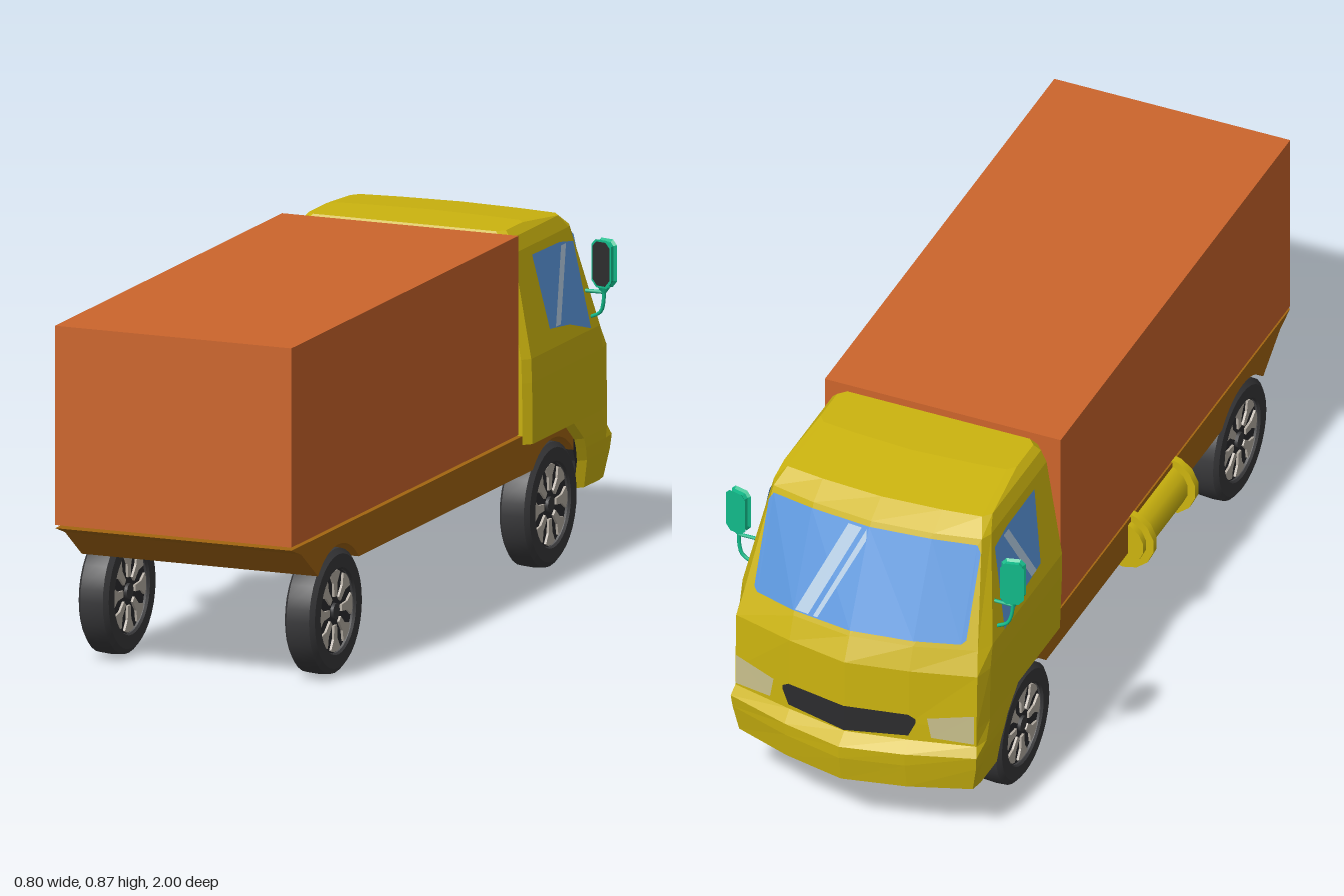
import * as THREE from 'three';
import { toCreasedNormals } from 'three/addons/utils/BufferGeometryUtils.js';

const paint = (name, color) => {
  const m = new THREE.MeshStandardMaterial({ color, side: THREE.DoubleSide });
  m.name = name;
  return m;
};

// Cab levels, bottom to top: y, half width, rear z, side end z, corner x, corner z, quarter z, centre z
const SKIRT = [
  [0.165, 0.318, -0.745, -0.86, 0.312, -0.895, -0.95, -0.985],
  [0.235, 0.328, -0.74, -0.865, 0.325, -0.905, -0.962, -0.998],
  [0.27, 0.332, -0.725, -0.865, 0.328, -0.91, -0.965, -1.0],
  [0.295, 0.333, -0.712, -0.86, 0.322, -0.895, -0.935, -0.965],
  [0.345, 0.333, -0.65, -0.84, 0.322, -0.895, -0.935, -0.965],
];
const BODY = [
  [0.345, 0.333, -0.4, -0.84, 0.322, -0.895, -0.935, -0.965],
  [0.5, 0.335, -0.392, -0.84, 0.322, -0.89, -0.935, -0.965],
  [0.56, 0.334, -0.389, -0.825, 0.312, -0.865, -0.912, -0.935],
  [0.82, 0.29, -0.384, -0.735, 0.278, -0.765, -0.79, -0.805],
  [0.855, 0.278, -0.39, -0.7, 0.26, -0.722, -0.735, -0.745],
  [0.873, 0.262, -0.4, -0.52, 0.245, -0.54, -0.55, -0.56],
];
const LEVELS = [...SKIRT, ...BODY.slice(1)];
const QX = 0.16;

function levelAt(y) {
  let i = 0;
  while (i < LEVELS.length - 2 && y > LEVELS[i + 1][0]) i++;
  const a = LEVELS[i], b = LEVELS[i + 1];
  const t = (y - a[0]) / (b[0] - a[0]);
  return a.map((v, k) => v + (b[k] - v) * t);
}

function ring([y, x, zr, zs, xc, zc, zq, zm]) {
  const half = [[x - 0.018, zr], [x, zr - 0.02], [x, zs], [xc, zc], [QX, zq]];
  const mirrored = half.map(([a, b]) => [-a, b]).reverse();
  return [...half, [0, zm], ...mirrored].map(([a, b]) => [a, y, b]);
}

function faces(points) {
  const g = new THREE.BufferGeometry();
  g.setAttribute('position', new THREE.Float32BufferAttribute(points.flat(), 3));
  g.computeVertexNormals();
  return g;
}

function loft(levels, closed) {
  const rings = levels.map(ring), out = [];
  for (let l = 0; l < rings.length - 1; l++) {
    const n = rings[l].length;
    for (let i = 0; i < (closed ? n : n - 1); i++) {
      const j = (i + 1) % n;
      const a = rings[l][i], b = rings[l][j], c = rings[l + 1][j], d = rings[l + 1][i];
      out.push(a, b, c, a, c, d);
    }
  }
  return faces(out);
}

function cap(level, up) {
  const r = ring(level), out = [];
  for (let i = 1; i < r.length - 1; i++) out.push(r[0], r[up ? i : i + 1], r[up ? i + 1 : i]);
  return faces(out);
}

// Thin painted plates laid on the cab surface
function plate(map, quads) {
  return faces(quads.flatMap((q) => {
    const [a, b, c, d] = q.map(map);
    return [a, c, b, a, d, c];
  }));
}
const onFront = (off) => ([x, y]) => {
  const [, , , , xc, zc, zq, zm] = levelAt(y), ax = Math.abs(x);
  const z = ax < QX ? zm + (zq - zm) * ax / QX : zq + (zc - zq) * (ax - QX) / (xc - QX);
  return [x, y, z - off];
};
const onSide = (s, off) => ([z, y]) => [s * (levelAt(y)[1] + off), y, z];
const columns = (cols) => cols.slice(1).map(([x, lo, hi], i) => {
  const [px, plo, phi] = cols[i];
  return [[px, plo], [x, lo], [x, hi], [px, phi]];
});

// Side profile given as (z, y), extruded across x and centred on it
function extrudeX(shape, width) {
  const g = new THREE.ExtrudeGeometry(shape, { depth: width, bevelEnabled: false, curveSegments: 16 });
  return g.rotateY(-Math.PI / 2).translate(width / 2, 0, 0);
}
const polygon = (pts) => new THREE.Shape(pts.map(([a, b]) => new THREE.Vector2(a, b)));

export function createModel() {
  const model = new THREE.Group();
  model.name = 'boxTruck';
  const orange = paint('cargo orange', 0xcc652c);
  const yellow = paint('cab yellow', 0xccb40f);
  const brown = paint('chassis brown', 0xa36510);
  const blue = paint('window blue', 0x5a96dc);
  const streak = paint('glass streak', 0xb4cce2);
  const rubber = paint('tyre black', 0x38383a);
  const dark = paint('trim black', 0x2c2c2e);
  const metal = paint('rim grey', 0xb6aea4);
  const lamp = paint('headlight cream', 0xc9c08c);
  const green = paint('mirror green', 0x12bb8a);
  const add = (name, geometry, material, parent = model) => {
    const m = new THREE.Mesh(geometry, material);
    m.name = name;
    parent.add(m);
    return m;
  };

  // Cargo box
  add('cargoBox', new THREE.BoxGeometry(0.63, 0.498, 1.375), orange).position.set(0, 0.624, 0.3125);

  // Chassis with wheel arches cut right across
  const wheelZ = [0.715, -0.585], wheelY = 0.16, archR = 0.165;
  const a0 = Math.asin(0.11 / archR);
  const frame = polygon([[-0.4, 0.345], [-0.4, 0.367], [1, 0.367], [0.94, 0.345], [0.94, 0.27]].reverse());
  const chassis = new THREE.Shape();
  chassis.moveTo(0.94, 0.27);
  for (const z of wheelZ) chassis.absarc(z, wheelY, archR, a0, Math.PI - a0, false);
  [[-0.71, 0.345], ...frame.getPoints().reverse().slice(0, 4).map((p) => [p.x, p.y])]
    .forEach(([z, y]) => chassis.lineTo(z, y));
  add('chassis', extrudeX(chassis, 0.63), brown);

  // Cab shell
  const cab = new THREE.Group();
  cab.name = 'cab';
  model.add(cab);
  add('cabBody', loft(BODY, true), yellow, cab);
  add('roof', cap(BODY[BODY.length - 1], true), yellow, cab);
  add('cabFloor', cap(BODY[0], false), dark, cab);
  add('bumperAndSkirt', loft(SKIRT, false), yellow, cab);
  add('bumperUnderside', cap(SKIRT[0], false), dark, cab);
  add('frontArchLiner', extrudeX(polygon([[-0.65, 0.344], [-0.712, 0.295], [-0.74, 0.235],
    [-0.745, 0.167], [-0.85, 0.167], [-0.85, 0.344]]), 0.61), dark, cab);

  // Windscreen, grille and lights
  add('windscreen', plate(onFront(0.006), columns([[-0.283, 0.585, 0.79], [-0.272, 0.575, 0.808],
    [-QX, 0.575, 0.81], [0, 0.575, 0.81], [QX, 0.575, 0.81], [0.272, 0.575, 0.808], [0.283, 0.585, 0.79]])), blue, cab);
  add('windscreenStreaks', plate(onFront(0.009), [
    [[0.118, 0.58], [0.155, 0.58], [0.055, 0.805], [0.018, 0.805]],
    [[0.092, 0.58], [0.104, 0.58], [0.004, 0.805], [0, 0.78]]]), streak, cab);
  add('grille', plate(onFront(0.006), columns([[-0.178, 0.352, 0.362], [-QX, 0.312, 0.374],
    [0, 0.302, 0.374], [QX, 0.312, 0.374], [0.178, 0.352, 0.362]])), dark, cab);
  for (const s of [1, -1]) {
    add('headlight', plate(onFront(0.006),
      [[[s * 0.215, 0.312], [s * 0.318, 0.305], [s * 0.318, 0.388], [s * 0.205, 0.368]]]), lamp, cab);
    add('bumperPanel', plate(onFront(0.005),
      [[[s * 0.1, 0.19], [s * 0.155, 0.19], [s * 0.155, 0.225], [s * 0.1, 0.225]]]), yellow, cab);

    // Side window
    add('sideWindow', plate(onSide(s, 0.005),
      [[[-0.495, 0.8], [-0.53, 0.61], [-0.645, 0.598], [-0.66, 0.798]],
        [[-0.66, 0.798], [-0.645, 0.598], [-0.762, 0.565], [-0.738, 0.785]]]), blue, cab);
    add('sideWindowStreak', plate(onSide(s, 0.008),
      [[[-0.56, 0.61], [-0.59, 0.61], [-0.69, 0.79], [-0.66, 0.79]]]), streak, cab);

    // Wing mirror on its bent arms
    const mirror = new THREE.Group();
    mirror.name = 'wingMirror';
    model.add(mirror);
    const outline = (w, h) => polygon([[-w, -h + 0.016], [-w + 0.014, -h], [w - 0.014, -h], [w, -h + 0.016],
      [w, h - 0.013], [w - 0.012, h], [-w + 0.012, h], [-w, h - 0.013]]);
    const head = new THREE.Group();
    head.name = 'mirrorHead';
    head.position.set(s * 0.366, 0.727, -0.775);
    head.rotation.y = -s * 0.25;
    mirror.add(head);
    add('mirrorShell', new THREE.ExtrudeGeometry(outline(0.03, 0.06),
      { depth: 0.012, bevelEnabled: true, bevelSize: -0.006, bevelOffset: 0, bevelThickness: 0.006, bevelSegments: 1 })
      .translate(0, 0, -0.008), green, head);
    add('mirrorGlass', new THREE.ShapeGeometry(outline(0.0265, 0.055)).translate(0, 0, 0.0115), dark, head);
    const arm = (pts) => new THREE.TubeGeometry(new THREE.CatmullRomCurve3(
      pts.map(([x, y, z]) => new THREE.Vector3(s * x, y, z))), 10, 0.0048, 6);
    add('lowerMirrorArm', arm([[0.325, 0.588, -0.785], [0.354, 0.603, -0.782], [0.364, 0.63, -0.778],
      [0.366, 0.675, -0.775]]), green, mirror);
    add('upperMirrorArm', arm([[0.305, 0.655, -0.775], [0.366, 0.655, -0.776]]), green, mirror);
    add('mirrorNeck', new THREE.CylinderGeometry(0.018, 0.006, 0.016, 8).scale(1, 1, 0.5)
      .translate(s * 0.366, 0.661, -0.775), green, mirror);
  }

  // Wheels: tyre, dark disc and eight flared spokes showing on both faces
  const tyre = toCreasedNormals(new THREE.LatheGeometry([[0.104, -0.034], [0.108, -0.04], [0.142, -0.04],
    [0.155, -0.03], [0.157, 0], [0.155, 0.03], [0.142, 0.04], [0.108, 0.04], [0.104, 0.034]]
    .map(([r, h]) => new THREE.Vector2(r, h)), 32).rotateZ(-Math.PI / 2), 0.5);
  const disc = new THREE.CylinderGeometry(0.106, 0.106, 0.054, 32).rotateZ(-Math.PI / 2);
  const hub = new THREE.CylinderGeometry(0.02, 0.02, 0.07, 12).rotateZ(-Math.PI / 2);
  const spoke = extrudeX(polygon([[-0.008, 0.036], [0.008, 0.036], [0.011, 0.07], [0.027, 0.094],
    [0.012, 0.101], [-0.012, 0.101], [-0.027, 0.094], [-0.011, 0.07]]), 0.066);
  for (const s of [1, -1]) {
    for (const z of wheelZ) {
      const wheel = new THREE.Group();
      wheel.name = z > 0 ? 'cargoWheel' : 'cabWheel';
      wheel.position.set(s * 0.275, 0.158, z);
      model.add(wheel);
      add('tyre', tyre, rubber, wheel);
      add('wheelDisc', disc, dark, wheel);
      add('hub', hub, rubber, wheel);
      for (let i = 0; i < 8; i++) add('spoke', spoke, metal, wheel).rotation.x = i * Math.PI / 4;
    }
  }

  // Fuel tank with two straps
  const drum = (name, r, len, z) => add(name, new THREE.CylinderGeometry(r, r, len, 14)
    .rotateX(Math.PI / 2), yellow).position.set(-0.294, 0.295, z);
  drum('fuelTank', 0.063, 0.305, 0.18);
  for (const z of [0.055, 0.305]) drum('tankStrap', 0.083, 0.02, z);
  return model;
}
